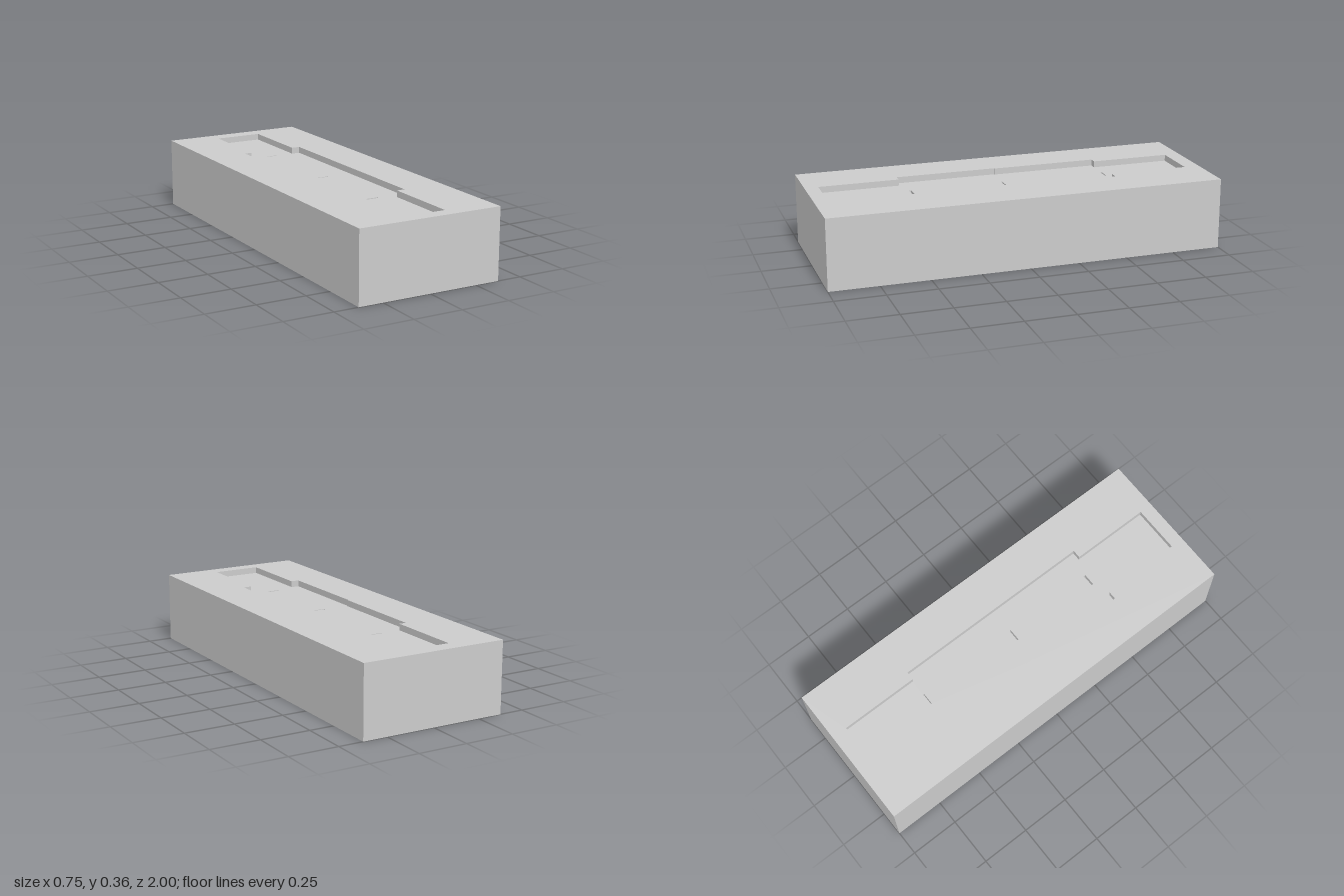
import * as THREE from 'three';

const material = new THREE.MeshStandardMaterial({ color: 0xcccccc, flatShading: true });

// Heights of the block top, the recess floor and the slot bottoms
const TOP = 0.358, FLOOR = 0.326, SLOT_BOTTOM = 0.296;

// All outlines are [x, z], counter-clockwise seen from above
const rect = (x0, x1, z0, z1) => [[x0, z1], [x1, z1], [x1, z0], [x0, z0]];

const blockOutline = rect(-0.375, 0.375, -1, 1);

const recessOutline = [
  [-0.127, 0.931], [0.117, 0.931], [0.117, 0.527], [0.16, 0.527],
  [0.16, -0.52], [0.117, -0.52], [0.117, -0.922], [-0.127, -0.922],
  [-0.127, -0.52], [-0.163, -0.52], [-0.163, 0.013], [-0.168, 0.013],
  [-0.168, 0.525], [-0.127, 0.525],
];

const slotOutlines = [
  rect(-0.031, 0.031, -0.524, -0.517),
  rect(-0.031, 0.031, 0.014, 0.021),
  rect(-0.031, 0.031, 0.487, 0.499),
];

const toVectors = (outline) => outline.map(([x, z]) => new THREE.Vector2(x, -z));

// Horizontal face at height y, with optional openings
function flatFace(name, outline, y, holes = [], down = false) {
  const shape = new THREE.Shape(toVectors(outline));
  shape.holes = holes.map((h) => new THREE.Path(toVectors(h)));
  const geometry = new THREE.ShapeGeometry(shape).rotateX(down ? Math.PI / 2 : -Math.PI / 2);
  geometry.translate(0, y, 0);
  const mesh = new THREE.Mesh(geometry, material);
  mesh.name = name;
  return mesh;
}

// Vertical walls along an outline, facing outward or into the opening
function walls(name, outline, y0, y1, inward = false) {
  const ring = inward ? [...outline].reverse() : outline;
  const positions = [];
  ring.forEach(([ax, az], i) => {
    const [bx, bz] = ring[(i + 1) % ring.length];
    positions.push(ax, y0, az, bx, y0, bz, bx, y1, bz);
    positions.push(ax, y0, az, bx, y1, bz, ax, y1, az);
  });
  const geometry = new THREE.BufferGeometry();
  geometry.setAttribute('position', new THREE.Float32BufferAttribute(positions, 3));
  geometry.computeVertexNormals();
  const mesh = new THREE.Mesh(geometry, material);
  mesh.name = name;
  return mesh;
}

export function createModel() {
  const model = new THREE.Group();
  model.name = 'recessedBlock';

  // Outer block
  const block = new THREE.Group();
  block.name = 'block';
  block.add(
    walls('blockSides', blockOutline, 0, TOP),
    flatFace('blockBottom', blockOutline, 0, [], true),
    flatFace('blockTop', blockOutline, TOP, [recessOutline]),
  );

  // Shallow stepped recess in the top
  const recess = new THREE.Group();
  recess.name = 'recess';
  recess.add(
    walls('recessWalls', recessOutline, FLOOR, TOP, true),
    flatFace('recessFloor', recessOutline, FLOOR, slotOutlines),
  );
  model.add(block, recess);

  // Narrow slots cut into the recess floor
  slotOutlines.forEach((outline, i) => {
    const slot = new THREE.Group();
    slot.name = `slot${i + 1}`;
    slot.add(
      walls('slotWalls', outline, SLOT_BOTTOM, FLOOR, true),
      flatFace('slotBottom', outline, SLOT_BOTTOM),
    );
    model.add(slot);
  });

  return model;
}
